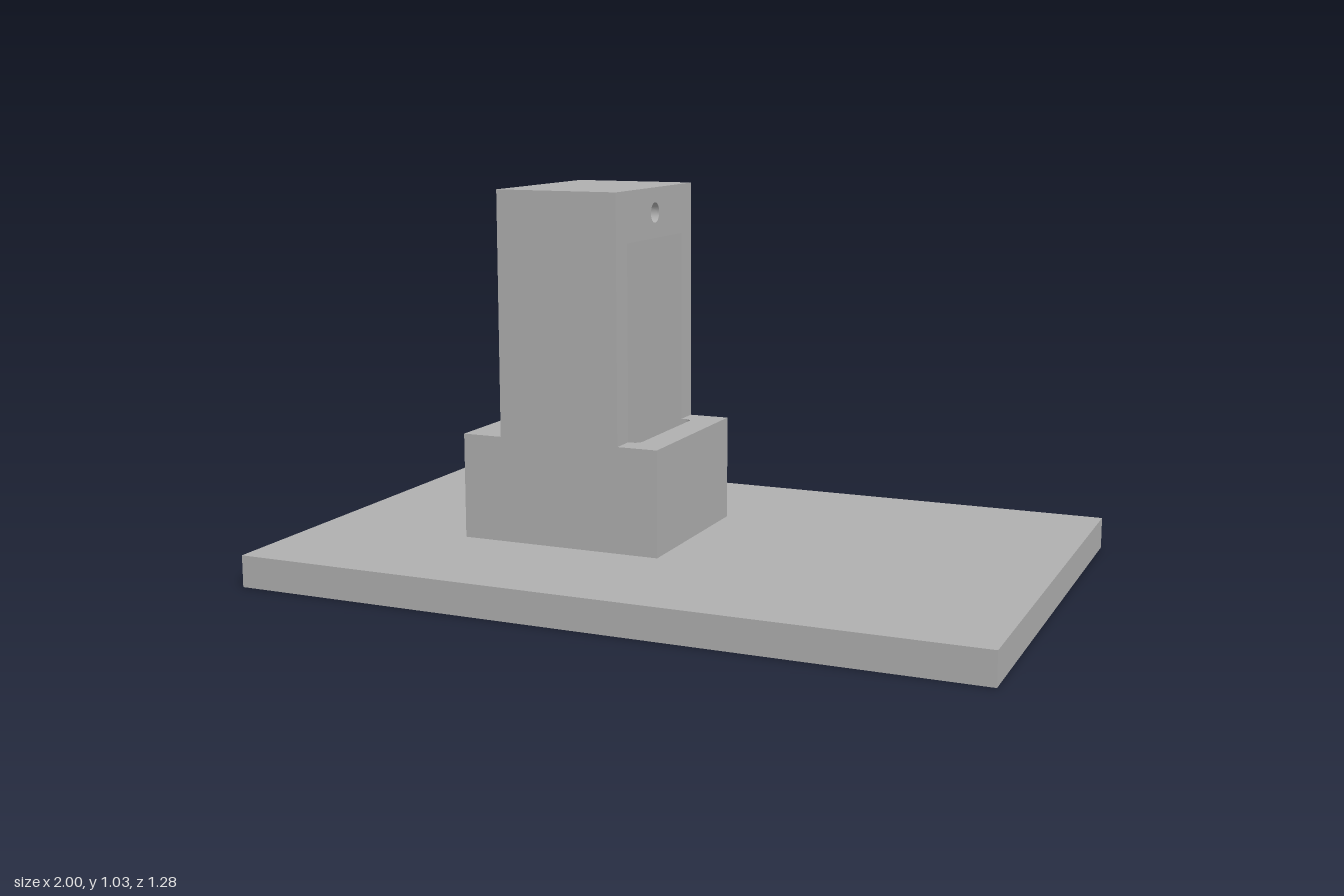
import * as THREE from 'three';

// Rounded rectangle centred on (cx, 0), used for the pocket outline
function roundedRect(cx, w, h, r) {
  const p = new THREE.Path();
  const x = w / 2 - r, y = h / 2 - r;
  p.absarc(cx + x, y, r, 0, Math.PI / 2);
  p.absarc(cx - x, y, r, Math.PI / 2, Math.PI);
  p.absarc(cx - x, -y, r, Math.PI, Math.PI * 1.5);
  p.absarc(cx + x, -y, r, Math.PI * 1.5, Math.PI * 2);
  p.closePath();
  return p;
}

export function createModel() {
  const model = new THREE.Group();
  model.name = 'towerOnPlate';
  const grey = new THREE.MeshStandardMaterial({ color: 0xb0b0b0 });
  grey.name = 'plain grey';

  const add = (name, geometry, x, y) => {
    const mesh = new THREE.Mesh(geometry, grey);
    mesh.name = name;
    mesh.position.set(x, y, 0);
    model.add(mesh);
  };

  const baseTop = 0.086, pocketFloor = 0.23, pedestalTop = 0.372, towerTop = 1.03;
  const halfDepth = 0.245, halfOpening = 0.178;
  const pedestalX = -0.272, pedestalW = 0.568;

  // Flat base plate
  add('basePlate', new THREE.BoxGeometry(2, baseTop, 1.28), 0, baseTop / 2);

  // Pedestal: solid lower block, then a rim around the rounded pocket
  const lowerH = pocketFloor - baseTop;
  add('pedestalBlock', new THREE.BoxGeometry(pedestalW, lowerH, halfDepth * 2),
    pedestalX, baseTop + lowerH / 2);

  const hw = pedestalW / 2;
  const rim = new THREE.Shape([[-hw, -halfDepth], [hw, -halfDepth], [hw, halfDepth], [-hw, halfDepth]]
    .map(([x, y]) => new THREE.Vector2(x, y)));
  rim.holes.push(roundedRect(0, 0.408, halfOpening * 2, 0.02));
  const rimGeometry = new THREE.ExtrudeGeometry(rim,
    { depth: pedestalTop - pocketFloor, bevelEnabled: false, curveSegments: 8 });
  rimGeometry.rotateX(-Math.PI / 2);
  add('pedestalRim', rimGeometry, pedestalX, pocketFloor);

  // Tower: an arch with two legs and a round cross hole near the top
  const lintel = 0.895;
  const arch = new THREE.Shape([
    [-halfDepth, pedestalTop], [-halfOpening, pedestalTop], [-halfOpening, lintel],
    [halfOpening, lintel], [halfOpening, pedestalTop], [halfDepth, pedestalTop],
    [halfDepth, towerTop], [-halfDepth, towerTop],
  ].map(([x, y]) => new THREE.Vector2(x, y)));
  arch.holes.push(new THREE.Path().absarc(0, 0.963, 0.027, 0, Math.PI * 2, true));
  const archGeometry = new THREE.ExtrudeGeometry(arch,
    { depth: 0.344, bevelEnabled: false, curveSegments: 32 });
  archGeometry.rotateY(Math.PI / 2);
  add('towerArch', archGeometry, -0.444, 0);

  return model;
}
